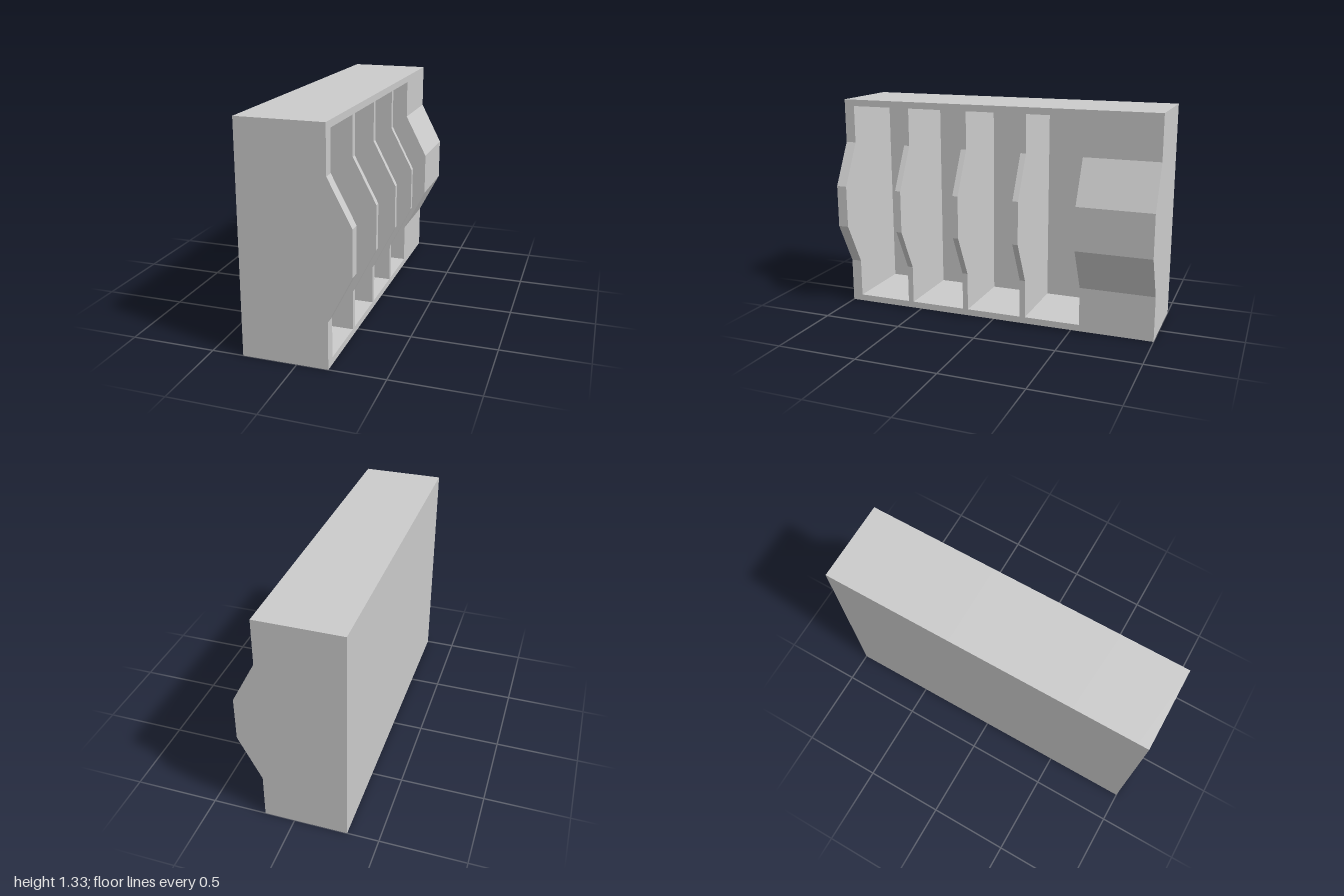
import * as THREE from 'three';

const HEIGHT = 1.33, LENGTH = 2, BACK = -0.315, FACE = 0.18, BULGE = 0.315;
const WALL = 0.04;

export function createModel() {
  const group = new THREE.Group();
  const material = new THREE.MeshStandardMaterial({ color: 0xcccccc });

  const add = (name, geometry, x, y, z) => {
    const mesh = new THREE.Mesh(geometry, material);
    mesh.name = name;
    mesh.position.set(x, y, z);
    group.add(mesh);
  };

  // Side profile with the faceted bulge, shared by every upright panel
  const profile = new THREE.Shape([
    [BACK, 0], [FACE, 0], [FACE, 0.275], [BULGE, 0.54],
    [BULGE, 0.8], [FACE, 1.06], [FACE, HEIGHT], [BACK, HEIGHT],
  ].map(([x, y]) => new THREE.Vector2(x, y)));

  const panel = (name, z0, z1) => add(name,
    new THREE.ExtrudeGeometry(profile, { depth: z1 - z0, bevelEnabled: false }), 0, 0, z0);

  // Open compartments, from the front end to the solid rear block
  const slots = [[0.59, 0.935], [0.207, 0.555], [-0.173, 0.173], [-0.55, -0.207]];

  // Upright panels fill the gaps between compartments
  let top = LENGTH / 2;
  slots.forEach(([z0, z1], i) => {
    panel(i === 0 ? 'frontEndPanel' : `divider${i}`, z1, top);
    top = z0;
  });
  panel('rearBlock', -LENGTH / 2, top);

  // Floor, ceiling and back wall of each compartment
  const depth = FACE - BACK;
  slots.forEach(([z0, z1], i) => {
    const width = z1 - z0, z = (z0 + z1) / 2, x = (FACE + BACK) / 2;
    const board = new THREE.BoxGeometry(depth, WALL, width);
    add(`compartmentFloor${i + 1}`, board, x, WALL / 2, z);
    add(`compartmentCeiling${i + 1}`, board, x, HEIGHT - WALL / 2, z);
    add(`compartmentBack${i + 1}`, new THREE.BoxGeometry(WALL, HEIGHT - 2 * WALL, width),
      BACK + WALL / 2, HEIGHT / 2, z);
  });

  return group;
}
